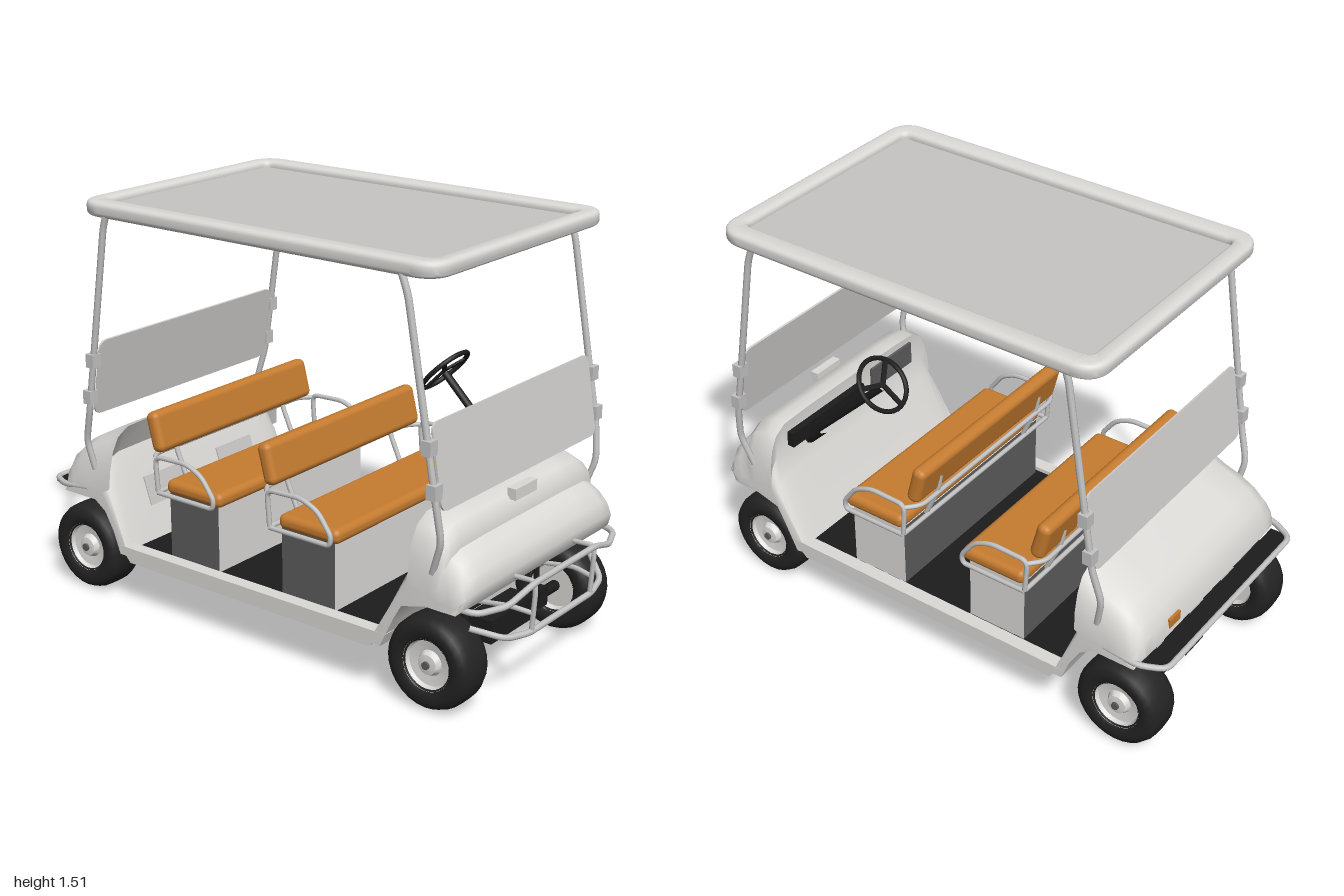
import * as THREE from 'three';
import { mergeVertices, toCreasedNormals } from 'three/addons/utils/BufferGeometryUtils.js';
import { RoundedBoxGeometry } from 'three/addons/geometries/RoundedBoxGeometry.js';

const mat = (name, color, side = THREE.FrontSide) => {
  const m = new THREE.MeshStandardMaterial({ color, side });
  m.name = name;
  return m;
};

export function createModel() {
  const white = mat('body white', 0xdcdad7);
  const panelGrey = mat('roof panel grey', 0xc6c5c3);
  const screenGrey = mat('screen grey', 0xd2cece, THREE.DoubleSide);
  const metal = mat('tube metal', 0xc4c4c4);
  const orange = mat('seat orange', 0xc67c30);
  const darkGrey = mat('dark grey', 0x5c5c5c);
  const black = mat('black', 0x1c1c1c);
  const tyreBlack = mat('tyre black', 0x232323);

  const cart = new THREE.Group();
  cart.name = 'cart';
  const add = (name, geo, material, x = 0, y = 0, z = 0) => {
    const m = new THREE.Mesh(geo, material);
    m.name = name;
    m.position.set(x, y, z);
    cart.add(m);
    return m;
  };
  const box = (name, material, x0, x1, y0, y1, z0, z1) =>
    add(name, new THREE.BoxGeometry(x1 - x0, y1 - y0, z1 - z0), material, (x0 + x1) / 2, (y0 + y1) / 2, (z0 + z1) / 2);
  const V = p => new THREE.Vector3(...p);
  // Bent tube: straight runs with small rounded bends
  const tube = (name, pts, r, material = metal, bend = 0.03) => {
    const path = new THREE.CurvePath();
    const p = pts.map(V);
    let last = p[0];
    for (let i = 1; i < p.length - 1; i++) {
      const a = p[i].clone().sub(p[i - 1]), b = p[i + 1].clone().sub(p[i]);
      const d = Math.min(bend, a.length() * 0.45, b.length() * 0.45);
      const s = p[i].clone().addScaledVector(a.normalize(), -d), e = p[i].clone().addScaledVector(b.normalize(), d);
      path.add(new THREE.LineCurve3(last, s));
      path.add(new THREE.QuadraticBezierCurve3(s, p[i], e));
      last = e;
    }
    path.add(new THREE.LineCurve3(last, p[p.length - 1]));
    return add(name, new THREE.TubeGeometry(path, pts.length * 12, r, 8), material);
  };
  // Path mirrored across z = 0
  const mirrored = pts => [...pts, ...pts.slice().reverse().map(([x, y, z]) => [x, y, -z])];
  const roundRect = (w, h, r, T = THREE.Shape) => {
    const s = new T(), x = w / 2, y = h / 2;
    s.moveTo(-x + r, -y).lineTo(x - r, -y).quadraticCurveTo(x, -y, x, -y + r);
    s.lineTo(x, y - r).quadraticCurveTo(x, y, x - r, y);
    s.lineTo(-x + r, y).quadraticCurveTo(-x, y, -x, y - r);
    s.lineTo(-x, -y + r).quadraticCurveTo(-x, -y, -x + r, -y);
    return s;
  };

  // Roof: rounded rim around a sunken panel
  const rim = roundRect(1.48, 0.985, 0.08);
  rim.holes.push(roundRect(1.42, 0.9, 0.05, THREE.Path));
  const rimGeo = new THREE.ExtrudeGeometry(rim, { depth: 0.02, bevelThickness: 0.017, bevelSize: 0.018, bevelSegments: 4 });
  rimGeo.rotateX(-Math.PI / 2);
  add('roofRim', toCreasedNormals(rimGeo, 0.7), white, 0.03, 1.473, -0.01);
  box('roofPanel', panelGrey, -0.69, 0.75, 1.46, 1.48, -0.465, 0.445);
  box('roofRaisedPanel', panelGrey, -0.66, 0.72, 1.48, 1.487, -0.435, 0.415);
  for (const x of [-0.35, 0.03, 0.41])
    for (const z of [-0.46, 0.44]) box('roofClip', darkGrey, x - 0.012, x + 0.012, 1.48, 1.505, z - 0.008, z + 0.008);

  // Posts and brackets
  for (const s of [1, -1]) {
    tube('rearPost', [[-0.6, 1.465, s * 0.487], [-0.615, 1.42, s * 0.487], [-0.722, 0.74, s * 0.487], [-0.757, 0.61, s * 0.475], [-0.735, 0.5, s * 0.46]], 0.012);
    tube('frontPost', [[0.655, 1.465, s * 0.487], [0.68, 1.4, s * 0.487], [0.798, 0.74, s * 0.487], [0.812, 0.62, s * 0.475], [0.77, 0.5, s * 0.46]], 0.012);
    for (const [y, xf, xr] of [[0.93, 0.768, -0.693], [0.79, 0.79, -0.715]]) {
      box('frontBracket', metal, xf - 0.018, xf + 0.018, y - 0.025, y + 0.025, s * 0.487 - 0.02, s * 0.487 + 0.02);
      box('rearBracket', metal, xr - 0.018, xr + 0.018, y - 0.025, y + 0.025, s * 0.487 - 0.02, s * 0.487 + 0.02);
    }
  }
  // Front and rear screens, leaning with the posts
  for (const [name, x, tilt] of [['frontScreen', 0.778, 0.16], ['rearScreen', -0.703, -0.16]]) {
    const g = new THREE.ExtrudeGeometry(roundRect(0.935, 0.288, 0.035), { depth: 0.008, bevelEnabled: false });
    g.rotateY(Math.PI / 2);
    add(name, g, screenGrey, x, 0.858, 0).rotation.z = tilt;
  }

  // Cowls: side profile swept across, shoulders rounded off toward the sides
  const stations = [[-0.474, 0.2, 0.78], [-0.468, 0.45, 0.88], [-0.452, 0.7, 0.94], [-0.425, 0.88, 0.98], [-0.375, 0.98, 1], [-0.25, 1, 1]];
  const rows = [...stations, ...stations.slice().reverse().map(([z, a, b]) => [-z, a, b])];
  const cowl = (name, profile, ax) => {
    const n = rows.length - 1;
    const shape = new THREE.Shape(profile.map(p => new THREE.Vector2(...p)));
    let g = new THREE.ExtrudeGeometry(shape, { depth: 1, steps: n, bevelEnabled: false });
    const p = g.attributes.position;
    for (let i = 0; i < p.count; i++) {
      const [z, ky, kx] = rows[Math.round(p.getZ(i) * n)];
      const x = p.getX(i), y = p.getY(i);
      if (y > 0.385) p.setXY(i, ax + (x - ax) * kx, 0.385 + (y - 0.385) * ky);
      p.setZ(i, z);
    }
    g.deleteAttribute('normal');
    g.deleteAttribute('uv');
    g = mergeVertices(g, 1e-4);
    add(name, toCreasedNormals(g, 0.75), white);
  };
  cowl('frontCowl', [[0.53, 0.2], [0.575, 0.19], [0.615, 0.28], [0.66, 0.36], [0.71, 0.385], [0.87, 0.385], [0.9, 0.41],
    [0.91, 0.46], [0.895, 0.51], [0.86, 0.55], [0.82, 0.575], [0.815, 0.62], [0.79, 0.65], [0.73, 0.675], [0.685, 0.67], [0.69, 0.56], [0.655, 0.47]], 0.66);
  cowl('rearCowl', [[-0.57, 0.2], [-0.66, 0.46], [-0.7, 0.555], [-0.648, 0.665], [-0.7, 0.635], [-0.77, 0.61], [-0.83, 0.575],
    [-0.875, 0.53], [-0.9, 0.48], [-0.912, 0.42], [-0.89, 0.385], [-0.73, 0.385], [-0.68, 0.35], [-0.64, 0.28], [-0.61, 0.2]], -0.68);
  box('noseBadgePlate', white, 0.79, 0.823, 0.635, 0.675, -0.065, 0.065);
  box('tailLight', orange, -0.912, -0.895, 0.44, 0.475, -0.285, -0.22);
  box('dashPanel', black, 0.66, 0.7, 0.56, 0.62, -0.36, 0.05);
  box('glovePocket', darkGrey, 0.676, 0.7, 0.55, 0.64, 0.12, 0.36);
  for (const z of [-0.2, 0.2]) {
    const p = box('rearPocket', panelGrey, -0.646, -0.63, 0.33, 0.44, z - 0.1, z + 0.1);
    p.rotation.z = 0.33;
  }

  // Floor pan with tapered side sills
  const sill = new THREE.Shape([[-0.61, 0.235], [-0.56, 0.178], [0.53, 0.178], [0.6, 0.24], [0.3, 0.238]].map(p => new THREE.Vector2(...p)));
  for (const z of [-0.475, 0.425])
    add('sill', new THREE.ExtrudeGeometry(sill, { depth: 0.05, bevelEnabled: false }), white, 0, 0, z);
  box('floorPan', white, -0.58, 0.56, 0.18, 0.215, -0.43, 0.43);
  box('floorMat', black, -0.57, 0.55, 0.215, 0.222, -0.425, 0.425);
  box('underTray', darkGrey, 0.25, 0.44, 0.125, 0.18, -0.12, 0.12);
  box('underTrayPlate', black, 0.42, 0.6, 0.14, 0.165, -0.1, 0.1);

  // Two bench seats
  for (const x of [-0.295, 0.225]) {
    const base = box('seatBase', [white, darkGrey, white, white, darkGrey, white], x - 0.115, x + 0.115, 0.22, 0.475, -0.41, 0.41);
    base.name = 'seatBase';
    add('seatCushion', new RoundedBoxGeometry(0.26, 0.055, 0.86, 4, 0.024), orange, x + 0.01, 0.498, 0);
    add('seatBack', new RoundedBoxGeometry(0.055, 0.15, 0.85, 4, 0.024), orange, x - 0.177, 0.685, 0).rotation.z = 0.25;
    for (const s of [1, -1]) {
      const z = s * 0.445;
      tube('armrest', [[x - 0.14, 0.48, z], [x - 0.15, 0.61, z], [x, 0.615, z], [x + 0.07, 0.585, z], [x + 0.125, 0.51, z], [x + 0.12, 0.475, z], [x - 0.14, 0.475, z]], 0.009);
      tube('backSupport', [[x - 0.13, 0.48, s * 0.3], [x - 0.185, 0.6, s * 0.3], [x - 0.2, 0.68, s * 0.3]], 0.009);
    }
    tube('backRail', [[x - 0.15, 0.6, -0.445], [x - 0.19, 0.6, -0.4], [x - 0.19, 0.6, 0.4], [x - 0.15, 0.6, 0.445]], 0.009);
    tube('lowerRail', [[x - 0.14, 0.478, -0.445], [x - 0.14, 0.478, 0.445]], 0.009);
  }

  // Steering column and wheel
  const zS = -0.245;
  tube('steeringColumn', [[0.69, 0.54, zS], [0.32, 0.9, zS]], 0.014, black);
  tube('columnHousing', [[0.7, 0.53, zS], [0.62, 0.61, zS]], 0.032, black);
  const steering = new THREE.Group();
  steering.name = 'steeringWheel';
  steering.position.set(0.318, 0.91, zS);
  steering.quaternion.setFromUnitVectors(new THREE.Vector3(0, 0, 1), new THREE.Vector3(-0.74, 0.67, 0).normalize());
  const ring = new THREE.Mesh(new THREE.TorusGeometry(0.1, 0.009, 8, 32), black);
  ring.name = 'steeringRing';
  steering.add(ring);
  for (let i = 0; i < 3; i++) {
    const spoke = new THREE.Mesh(new THREE.BoxGeometry(0.1, 0.018, 0.008).translate(0.05, 0, 0), black);
    spoke.name = 'steeringSpoke';
    spoke.rotation.z = i * Math.PI * 2 / 3;
    steering.add(spoke);
  }
  cart.add(steering);

  // Wheels, axles and suspension
  const lathe = pts => new THREE.LatheGeometry(pts.map(p => new THREE.Vector2(...p)), 28).rotateX(Math.PI / 2);
  const tyre = lathe([[0.086, -0.06], [0.1, -0.073], [0.13, -0.075], [0.153, -0.064], [0.163, -0.04], [0.165, 0],
    [0.163, 0.04], [0.153, 0.064], [0.13, 0.075], [0.1, 0.073], [0.086, 0.06]]);
  const hub = toCreasedNormals(lathe([[0, -0.04], [0.08, -0.04], [0.092, -0.066], [0.092, 0.066], [0.08, 0.045], [0.045, 0.04], [0.035, 0.06], [0, 0.066]]), 0.6);
  for (const x of [-0.815, 0.745]) {
    for (const s of [1, -1]) {
      add('tyre', tyre, tyreBlack, x, 0.165, s * 0.385);
      add('hub', hub, white, x, 0.165, s * 0.385).rotation.y = s > 0 ? 0 : Math.PI;
      const cap = add('hubCap', new THREE.CylinderGeometry(0.014, 0.014, 0.01, 12), darkGrey, x, 0.165, s * 0.452);
      cap.rotation.x = Math.PI / 2;
      tube('strut', [[x, 0.165, s * 0.22], [x - 0.01, 0.4, s * 0.22]], 0.011, black);
      box('axleJoint', black, x - 0.03, x + 0.03, 0.135, 0.205, s * 0.22 - 0.025, s * 0.22 + 0.025);
    }
    tube('axle', [[x, 0.165, -0.36], [x, 0.165, 0.36]], 0.02, black);
  }
  box('frontDifferential', black, 0.69, 0.79, 0.13, 0.215, -0.135, 0.135);
  box('rearDifferential', black, -0.86, -0.77, 0.125, 0.205, -0.06, 0.06);
  tube('steeringRack', [[0.8, 0.35, -0.15], [0.8, 0.35, 0.15]], 0.018, white);
  for (const s of [1, -1]) tube('shock', [[0.738, 0.325, s * 0.22], [0.735, 0.395, s * 0.22]], 0.018, orange);

  // Front guard: two rails joined by uprights
  tube('guardTop', mirrored([[0.83, 0.4, 0.45], [0.92, 0.39, 0.43], [0.965, 0.39, 0.32], [0.985, 0.432, 0.19]]), 0.011);
  tube('guardBottom', mirrored([[0.86, 0.305, 0.38], [0.95, 0.265, 0.3], [0.975, 0.255, 0.2]]), 0.011);
  for (const s of [1, -1]) {
    tube('guardUpright', [[0.86, 0.43, s * 0.185], [0.98, 0.435, s * 0.185], [0.985, 0.4, s * 0.185], [0.975, 0.255, s * 0.185]], 0.009);
    tube('guardBrace', [[0.7, 0.3, s * 0.2], [0.9, 0.33, s * 0.2], [0.98, 0.32, s * 0.185]], 0.009);
  }

  // Rear bumper
  tube('rearRail', mirrored([[-0.77, 0.42, 0.465], [-0.9, 0.405, 0.465], [-0.985, 0.4, 0.42]]), 0.011);
  box('rearBumper', black, -0.978, -0.905, 0.385, 0.4, -0.43, 0.43);
  return cart;
}
